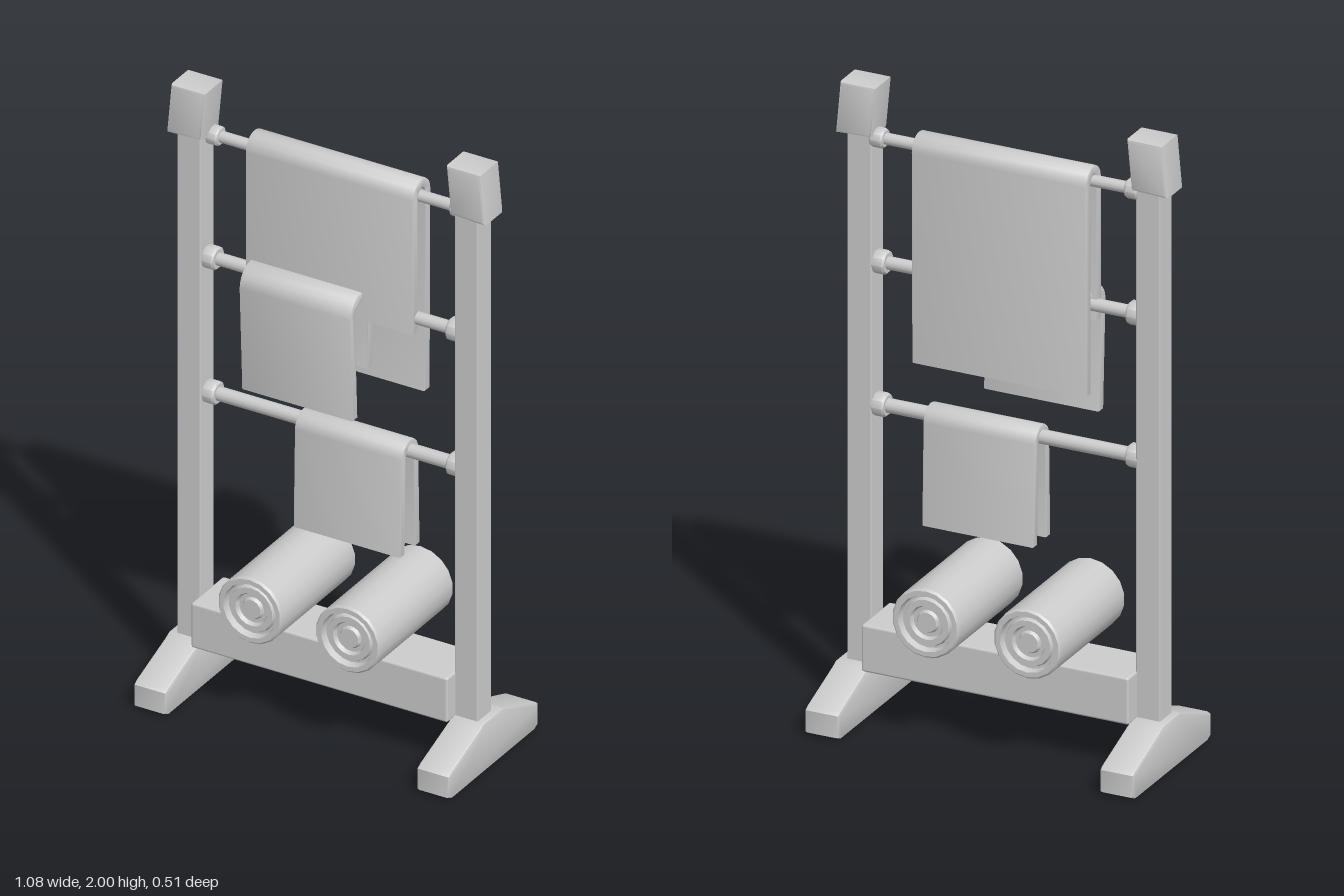
import * as THREE from 'three';
import { toCreasedNormals } from 'three/addons/utils/BufferGeometryUtils.js';
import { RoundedBoxGeometry } from 'three/addons/geometries/RoundedBoxGeometry.js';

const grey = new THREE.MeshStandardMaterial({ color: 0xcccccc });

function add(parent, name, geometry, x = 0, y = 0, z = 0) {
  const mesh = new THREE.Mesh(geometry, grey);
  mesh.name = name;
  mesh.position.set(x, y, z);
  parent.add(mesh);
  return mesh;
}

// Bevelled prism: outline in the XY plane, centred along Z, overall size kept
function prism(points, depth, bevel) {
  const shape = new THREE.Shape(points.map(([x, y]) => new THREE.Vector2(x, y)));
  const g = new THREE.ExtrudeGeometry(shape, {
    depth: depth - 2 * bevel, bevelEnabled: true, bevelThickness: bevel,
    bevelSize: bevel, bevelOffset: -bevel, bevelSegments: 2,
  });
  g.translate(0, 0, bevel - depth / 2);
  return toCreasedNormals(g, 0.6);
}

// Same prism with the outline given as [z, y] and the depth along X
function sidePrism(points, depth, bevel) {
  return prism(points.map(([z, y]) => [-z, y]).reverse(), depth, bevel).rotateY(Math.PI / 2);
}

// Cloth folded over a rail: an arch with a straight flap on each side
function towel(parent, name, { x0, x1, zc, yc, r, t, front, back }) {
  const line = (radius, side) => {
    const pts = [[front[0] + side * t / 2, front[1]]];
    for (let i = 0; i <= 12; i++) {
      const a = Math.PI * i / 12;
      pts.push([zc + radius * Math.cos(a), yc + radius * Math.sin(a)]);
    }
    pts.push([back[0] - side * t / 2, back[1]]);
    return pts;
  };
  const outline = [...line(r + t / 2, 1), ...line(r - t / 2, -1).reverse()];
  add(parent, name, sidePrism(outline, x1 - x0, 0.005), (x0 + x1) / 2);
}

export function createModel() {
  const model = new THREE.Group();
  model.name = 'towelRack';

  // Feet, posts and leaning caps, mirrored left and right
  const footOutline = [
    [-0.255, 0.01], [-0.235, 0], [0.235, 0], [0.255, 0.01], [0.255, 0.08],
    [0.24, 0.09], [0.075, 0.15], [0.055, 0.16], [-0.055, 0.16], [-0.075, 0.15],
    [-0.24, 0.09], [-0.255, 0.08],
  ];
  for (const s of [-1, 1]) {
    const side = s > 0 ? 'left' : 'right';
    add(model, side + 'Foot', sidePrism(footOutline, 0.11, 0.008), s * 0.48);
    add(model, side + 'Post', new RoundedBoxGeometry(0.08, 1.74, 0.08, 1, 0.005), s * 0.47, 1.0, 0.01);
    const cap = [[0.423, 1.84], [0.54, 1.835], [0.525, 2], [0.408, 2]];
    const outline = s > 0 ? cap : cap.map(([x, y]) => [-x, y]).reverse();
    add(model, side + 'Cap', prism(outline, 0.106, 0.008), 0, 0, 0.007);
  }

  // Lower beam
  add(model, 'lowerBeam', new RoundedBoxGeometry(0.87, 0.15, 0.184, 2, 0.008), 0, 0.23, 0.005);

  // Rails with a collar at each end
  const rails = [[1.83, -0.008, 0.018, 0.031], [1.428, 0.008, 0.02, 0.037], [0.975, 0.006, 0.022, 0.037]];
  for (const [y, z, r, collarR] of rails) {
    const rail = new THREE.Group();
    rail.name = 'rail';
    rail.position.set(0, y, z);
    model.add(rail);
    add(rail, 'rod', new THREE.CylinderGeometry(r, r, 0.88, 12).rotateZ(Math.PI / 2));
    const profile = [[0, -0.022], [collarR - 0.005, -0.022], [collarR, -0.016],
      [collarR, 0.016], [collarR - 0.005, 0.022], [0, 0.022]];
    const collar = toCreasedNormals(
      new THREE.LatheGeometry(profile.map(p => new THREE.Vector2(...p)), 10).rotateZ(Math.PI / 2), 0.7);
    for (const s of [-1, 1]) add(rail, 'collar', collar, s * 0.415);
  }

  // Hanging towels
  towel(model, 'largeTowel', { x0: -0.288, x1: 0.282, zc: -0.017, yc: 1.83, r: 0.035, t: 0.03,
    front: [0.018, 1.38], back: [-0.048, 1.16] });
  towel(model, 'middleTowel', { x0: -0.27, x1: 0.108, zc: 0.035, yc: 1.41, r: 0.05, t: 0.028,
    front: [0.07, 1.065], back: [-0.014, 1.2] });
  towel(model, 'smallTowel', { x0: -0.108, x1: 0.257, zc: 0.008, yc: 0.963, r: 0.035, t: 0.026,
    front: [0.05, 0.64], back: [-0.035, 0.64] });

  // Rolled towels with grooved spiral ends
  const end = [[0, 0.2], [0.03, 0.2], [0.036, 0.19], [0.048, 0.19], [0.054, 0.203], [0.072, 0.203],
    [0.077, 0.19], [0.084, 0.19], [0.089, 0.212], [0.104, 0.212], [0.11, 0.205]];
  const rollProfile = [...end.map(([r, h]) => [r, -h]), ...end.slice().reverse()];
  const roll = toCreasedNormals(
    new THREE.LatheGeometry(rollProfile.map(p => new THREE.Vector2(...p)), 18).rotateX(Math.PI / 2), 0.6);
  for (const x of [-0.168, 0.163]) add(model, 'rolledTowel', roll, x, 0.411, -0.002);

  return model;
}
